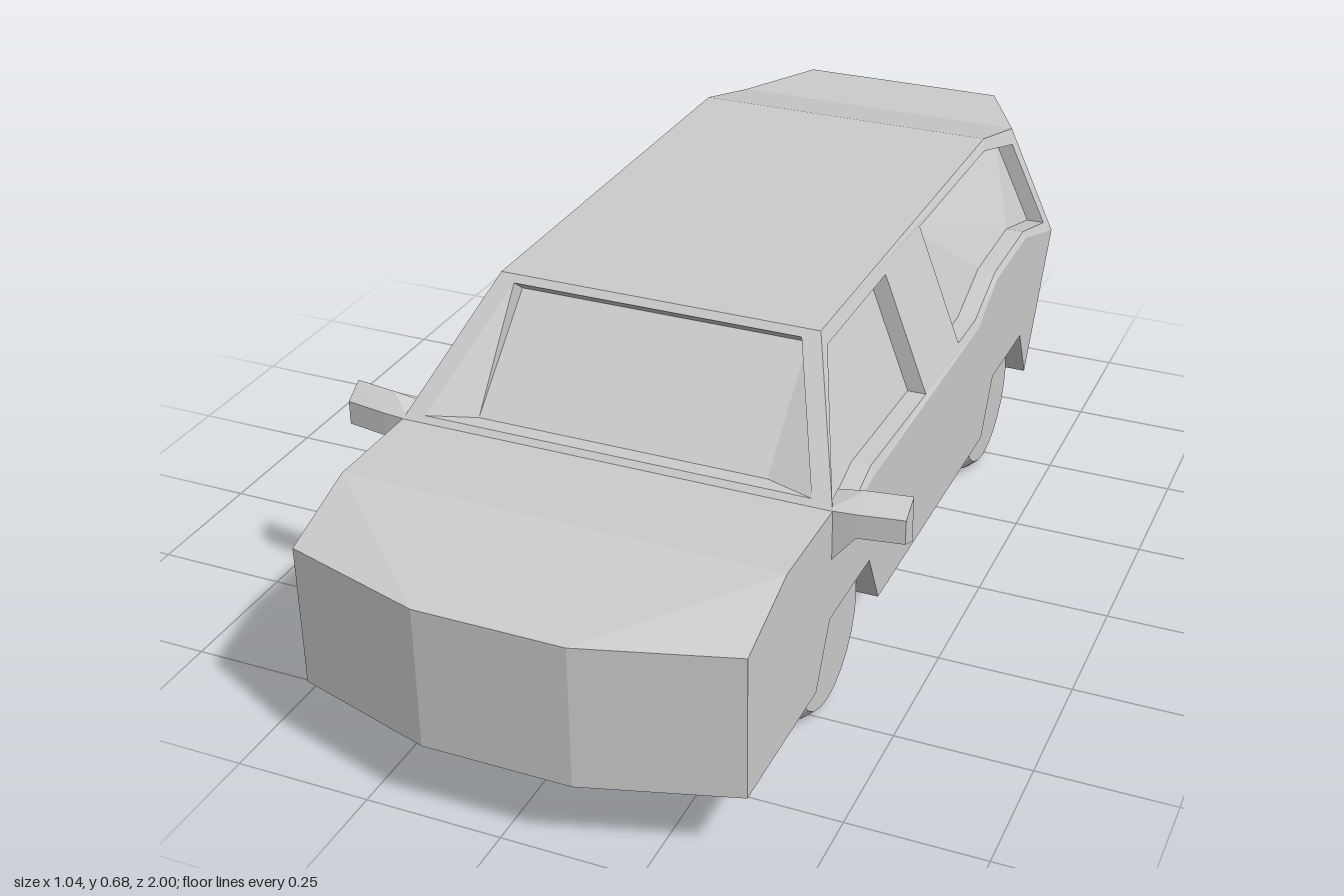
import * as THREE from 'three';

const V = (x, y, z) => new THREE.Vector3(x, y, z);
const P = ([a, b]) => new THREE.Vector2(a, b);
const { lerp, clamp } = THREE.MathUtils;

const paint = new THREE.MeshStandardMaterial({ color: 0xcccccc, side: THREE.DoubleSide });
paint.name = 'lightGrey';

// Every surface is a flat list of triangle corners
const quad = (a, b, c, d) => [a, b, c, a, c, d];
function flipTris(t) {
  const out = [];
  for (let i = 0; i < t.length; i += 3) out.push(t[i], t[i + 2], t[i + 1]);
  return out;
}
const mirrorTris = t => flipTris(t.map(p => V(-p.x, p.y, p.z)));

function addMesh(group, name, tris) {
  const geo = new THREE.BufferGeometry().setFromPoints(tris);
  geo.computeVertexNormals();
  const mesh = new THREE.Mesh(geo, paint);
  mesh.name = name;
  group.add(mesh);
}
function addPair(group, name, tris) {
  addMesh(group, name + 'Left', tris);
  addMesh(group, name + 'Right', mirrorTris(tris));
}

// Strip across the car through rows of [z, y, halfWidth]
function ribbon(rows) {
  const out = [];
  for (let i = 1; i < rows.length; i++) {
    const [z0, y0, w0] = rows[i - 1], [z1, y1, w1] = rows[i];
    out.push(...quad(V(-w0, y0, z0), V(w0, y0, z0), V(w1, y1, z1), V(-w1, y1, z1)));
  }
  return out;
}

// Panel with recessed windows: map places a 2D point, inset pushes it to the pane
function panel(outline, holes, map, inset, flip) {
  const ccw = list => {
    const pts = list.map(P);
    return THREE.ShapeUtils.isClockWise(pts) ? pts.reverse() : pts;
  };
  const rim = ccw(outline), cuts = holes.map(ccw);
  const all = [rim, ...cuts].flat();
  const finish = t => (flip ? flipTris(t) : t);
  const skin = THREE.ShapeUtils.triangulateShape(rim, cuts).flat().map(i => map(all[i].x, all[i].y));
  const reveals = [], panes = [];
  for (const cut of cuts) {
    const outer = cut.map(p => map(p.x, p.y)), inner = outer.map(inset);
    outer.forEach((a, i) => {
      const j = (i + 1) % outer.length;
      reveals.push(...quad(a, outer[j], inner[j], inner[i]));
    });
    panes.push(...THREE.ShapeUtils.triangulateShape(cut, []).flat().map(i => inner[i]));
  }
  return { skin: finish([...skin, ...reveals]), panes: finish(panes) };
}

// Waistline [z, y], front to back, rising over the rear wheels
const belt = [[0.56, 0.465], [0.5, 0.385], [0.36, 0.42], [0.06, 0.415], [-0.25, 0.42],
  [-0.36, 0.475], [-0.56, 0.48], [-0.77, 0.41]];
function beltY(z) {
  for (let i = 1; i < belt.length; i++) {
    const [z0, y0] = belt[i - 1], [z1, y1] = belt[i];
    if (z >= z1) return lerp(y0, y1, clamp((z0 - z) / (z0 - z1), 0, 1));
  }
  return 0.41;
}
const roofY = z => (z > -0.56 ? 0.68 : lerp(0.68, 0.625, (-0.56 - z) / 0.21));
const arch = c => [[c - 0.155, 0.145], [c - 0.1, 0.255], [c + 0.095, 0.255], [c + 0.155, 0.145]];

export function createModel() {
  const car = new THREE.Group();
  car.name = 'car';
  const arches = [...arch(-0.465), ...arch(0.465)];

  // Nose, bonnet, roof, tail and underside
  addMesh(car, 'bonnet', [
    ...ribbon([[1, 0.145, 0.135], [1, 0.41, 0.135], [0.76, 0.465, 0.135]]),
    ...ribbon([[0.76, 0.465, 0.4], [0.56, 0.465, 0.4]])]);
  addPair(car, 'noseCorner', [
    ...quad(V(0.135, 0.145, 1), V(0.4, 0.145, 0.92), V(0.4, 0.41, 0.92), V(0.135, 0.41, 1)),
    ...quad(V(0.135, 0.41, 1), V(0.4, 0.41, 0.92), V(0.4, 0.465, 0.76), V(0.135, 0.465, 0.76))]);
  addMesh(car, 'roof', ribbon([[0.36, 0.68, 0.3], [-0.56, 0.68, 0.3], [-0.77, 0.625, 0.3], [-0.94, 0.625, 0.21]]));
  addMesh(car, 'tailPanel', ribbon([[-1, 0.41, 0.26], [-1, 0.145, 0.26]]));
  addMesh(car, 'underside', ribbon([[-1, 0.145, 0.26], ...arches.map(([z, y]) => [z, y, 0.4]),
    [0.92, 0.145, 0.4], [1, 0.145, 0.135]]));

  // Lower side walls with wheel arches, and tapered rear corners
  const wall = panel([[0.92, 0.145], [0.92, 0.41], [0.76, 0.465], ...belt, ...arches], [],
    (z, y) => V(0.4, y, z), null, true);
  addPair(car, 'sideWall', wall.skin);
  const waist = V(0.4, 0.41, -0.77), tail = V(0.26, 0.41, -1);
  addPair(car, 'rearCorner', [
    ...quad(V(0.4, 0.145, -0.62), V(0.26, 0.145, -1), tail, waist),
    ...quad(waist, tail, V(0.21, 0.625, -0.94), V(0.3, 0.625, -0.77))]);

  // Cabin sides leaning in above the waistline
  const frontWindow = [[0.354, 0.654], [0.06, 0.654], [0.06, 0.429], [0.354, 0.438], [0.505, 0.4], [0.52, 0.475]];
  const rearWindow = [[-0.14, 0.663], [-0.54, 0.663], [-0.73, 0.606], [-0.73, 0.442],
    [-0.56, 0.493], [-0.365, 0.488], [-0.245, 0.438], [-0.14, 0.438]];
  const side = panel([...belt, [-0.77, 0.625], [-0.56, 0.68], [0.36, 0.68]], [frontWindow, rearWindow],
    (z, y) => V(0.4 - 0.1 * (y - beltY(z)) / (roofY(z) - beltY(z)), y, z),
    p => V(p.x - 0.035, p.y, p.z), true);
  addPair(car, 'cabinSide', side.skin);
  addPair(car, 'sideWindows', side.panes);

  // Windscreen
  const screen = panel([[-0.4, 0.465], [0.4, 0.465], [0.3, 0.68], [-0.3, 0.68]],
    [[[-0.36, 0.475], [0.36, 0.475], [0.27, 0.668], [-0.27, 0.668]]],
    (x, y) => V(x, y, 0.56 - 0.2 * (y - 0.465) / 0.215),
    p => V(clamp(p.x, -0.27, 0.27), p.y > 0.6 ? p.y - 0.023 : p.y, p.z - 0.03), false);
  addMesh(car, 'windscreenFrame', screen.skin);
  addMesh(car, 'windscreen', screen.panes);

  // Rear window
  const back = panel([[-0.26, 0.41], [0.26, 0.41], [0.21, 0.625], [-0.21, 0.625]],
    [[[-0.24, 0.425], [0.24, 0.425], [0.2, 0.608], [-0.2, 0.608]]],
    (x, y) => V(x, y, -1 + 0.06 * (y - 0.41) / 0.215),
    p => V(p.x, p.y, p.z + 0.03), true);
  addMesh(car, 'rearWindowFrame', back.skin);
  addMesh(car, 'rearWindow', back.panes);

  // Door mirrors lofted from the body outward
  const section = (x, pts) => pts.map(([z, y]) => V(x, y, z));
  const loft = [
    section(0.39, [[0.56, 0.36], [0.56, 0.465], [0.51, 0.478], [0.5, 0.39]]),
    section(0.44, [[0.555, 0.42], [0.555, 0.465], [0.517, 0.49], [0.517, 0.405]]),
    section(0.52, [[0.542, 0.42], [0.542, 0.465], [0.505, 0.49], [0.505, 0.405]])];
  const mirror = quad(loft[2][0], loft[2][3], loft[2][2], loft[2][1]);
  for (let s = 0; s < 2; s++) {
    for (let i = 0; i < 4; i++) {
      const j = (i + 1) % 4;
      mirror.push(...quad(loft[s][i], loft[s + 1][i], loft[s + 1][j], loft[s][j]));
    }
  }
  addPair(car, 'doorMirror', mirror);

  // Wheels with chamfered tyres
  const profile = [[0, -0.0625], [0.138, -0.0625], [0.155, -0.043], [0.155, 0.043], [0.138, 0.0625], [0, 0.0625]];
  const wheelGeo = new THREE.LatheGeometry(profile.map(P), 24).toNonIndexed();
  wheelGeo.rotateZ(Math.PI / 2);
  wheelGeo.computeVertexNormals();
  for (const x of [-0.302, 0.302]) {
    for (const z of [-0.462, 0.465]) {
      const wheel = new THREE.Mesh(wheelGeo, paint);
      wheel.name = (z > 0 ? 'front' : 'rear') + (x > 0 ? 'Left' : 'Right') + 'Wheel';
      wheel.position.set(x, 0.155, z);
      car.add(wheel);
    }
  }
  return car;
}
